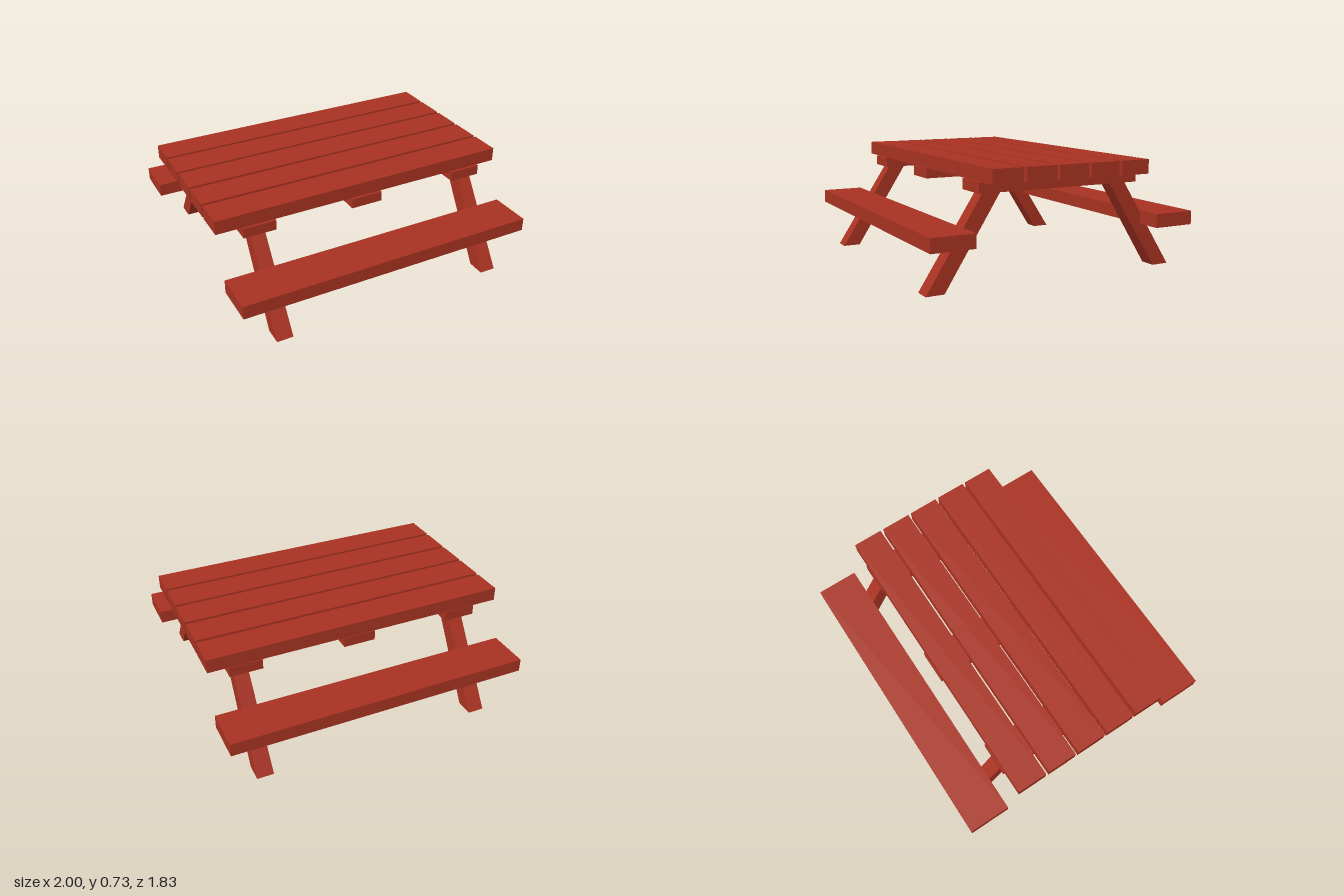
import * as THREE from 'three';

export function createModel() {
  const table = new THREE.Group();
  table.name = 'picnicTable';
  const wood = new THREE.MeshStandardMaterial({ color: 0xa83222, flatShading: true });

  function add(name, geometry, x, y, z) {
    const mesh = new THREE.Mesh(geometry, wood);
    mesh.name = name;
    mesh.position.set(x, y, z);
    table.add(mesh);
  }

  // Five table top planks
  for (let i = -2; i <= 2; i++) {
    add('topPlank', new THREE.BoxGeometry(2, 0.09, 0.2), 0, 0.68, -0.011 + i * 0.222);
  }

  // Cross battens under the top
  for (const x of [-0.727, 0.007, 0.762]) {
    add('batten', new THREE.BoxGeometry(0.213, 0.065, 1.11), x, 0.6025, -0.005);
  }

  // Bench seats, front and back
  for (const side of [1, -1]) {
    add('benchSeat', new THREE.BoxGeometry(2, 0.088, 0.28), 0, 0.33, side * 0.773 - 0.001);
  }

  // Splayed legs, sheared outwards and slightly wider at the foot
  const height = 0.57;
  for (const side of [1, -1]) {
    for (const x of [-0.729, 0.782]) {
      const leg = new THREE.BoxGeometry(0.108, height, 0.117);
      const p = leg.attributes.position;
      for (let i = 0; i < p.count; i++) {
        const up = p.getY(i) / height + 0.5;
        p.setX(i, p.getX(i) * (1 - 0.12 * up));
        p.setZ(i, p.getZ(i) - side * 0.367 * up);
      }
      leg.computeVertexNormals();
      add('leg', leg, x, height / 2, side * 0.811 + 0.003);
    }
  }

  return table;
}
